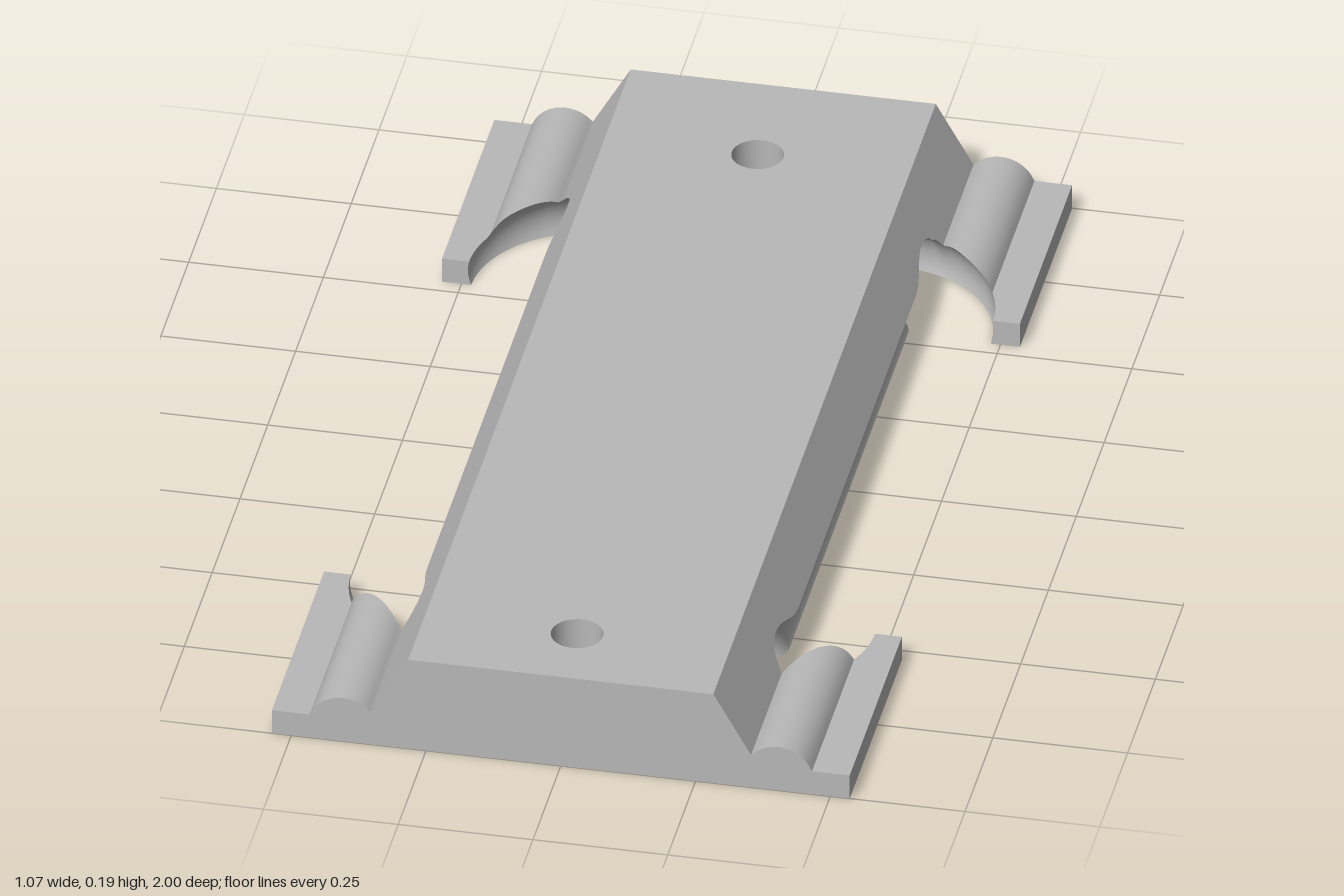
import * as THREE from 'three';

// Plate profile
const W = 0.536, TOP = 0.193, TOPX = 0.283, VALLEY = 0.353, BUMP_END = 0.466, LIP = 0.05;
// Ball track: bend centre (C, ZB), path radius R, tube radius r at height Y0
const C = 0.266, ZB = 0.53, R = 0.139, r = 0.083, Y0 = 0.031;
const HOLE_R = 0.048, HOLES = [-0.77, 0.853];

const lerp = THREE.MathUtils.lerp;

// Height of the upper surface at x
function height(x) {
  x = Math.abs(x);
  if (x <= TOPX) return TOP;
  const slope = TOP - (x - TOPX) * 1.75;
  const bump = 0.029 + Math.sqrt(Math.max(0, 0.065 ** 2 - (x - 0.404) ** 2));
  return Math.max(slope, bump, LIP);
}
// Half width of the track at height y, and the z where its edges meet the upper surface
const half = (y) => Math.sqrt(Math.max(0, r * r - (y - Y0) ** 2));
const arcZ = (x, rad) => ZB + Math.sqrt(Math.max(0, rad * rad - (x - C) ** 2));
const outerZ = (x) => arcZ(x, R + half(height(x)));
const innerZ = (x) => arcZ(x, R - half(height(x)));

// Surface from fn(u, v); its front faces du x dv
function grid(nu, nv, fn) {
  const pos = [], idx = [];
  for (let i = 0; i <= nu; i++) for (let j = 0; j <= nv; j++) pos.push(...fn(i / nu, j / nv));
  for (let i = 0; i < nu; i++) for (let j = 0; j < nv; j++) {
    const a = i * (nv + 1) + j, b = a + nv + 1;
    idx.push(a, b, a + 1, b, b + 1, a + 1);
  }
  const g = new THREE.BufferGeometry();
  g.setAttribute('position', new THREE.Float32BufferAttribute(pos, 3));
  g.setIndex(idx);
  g.computeVertexNormals();
  return g;
}

// Mirrored copy with corrected corner order
function mirrored(geo, sx, sz) {
  const g = geo.clone().scale(sx, 1, sz);
  if (sx * sz < 0) {
    const a = g.index.array;
    for (let i = 0; i < a.length; i += 3) [a[i], a[i + 1]] = [a[i + 1], a[i]];
  }
  g.computeVertexNormals();
  return g;
}

// Strip of the upper surface between x0 and x1, from z0(x) to z1(x)
const strip = (x0, x1, n, z0, z1, ease = (t) => t) => grid(1, n, (u, v) => {
  const x = lerp(x0, x1, ease(v));
  return [x, height(x), lerp(z0(x), z1(x), u)];
});

// Half of the track path: outer leg, bend, inner leg
const BEND = 48;
const path = [{ a: 0, z: 0 }];
for (let i = 0; i <= BEND; i++) path.push({ a: Math.PI * i / BEND, z: ZB });
path.push({ a: Math.PI, z: 0 });

const PHI0 = -Math.asin(Y0 / r), PHI1 = Math.PI - PHI0;
function tubePoint({ a, z }, phi) {
  const d = R + r * Math.cos(phi);
  return [C + d * Math.cos(a), Y0 + r * Math.sin(phi), z + d * Math.sin(a)];
}
// Angles between which the tube breaks through the upper surface
function opening(p) {
  const over = (phi) => { const q = tubePoint(p, phi); return q[1] - height(q[0]); };
  const N = 300, at = (i) => lerp(PHI0, PHI1, i / N);
  const refine = (lo, hi) => {
    for (let k = 0; k < 30; k++) {
      const m = (lo + hi) / 2;
      if (over(m) > 0) hi = m; else lo = m;
    }
    return hi;
  };
  let first = -1, last = -1;
  for (let i = 0; i <= N; i++) if (over(at(i)) > 0) { if (first < 0) first = i; last = i; }
  if (first < 0) return [Math.PI / 2, Math.PI / 2];
  return [refine(at(Math.max(0, first - 1)), at(first)), refine(at(Math.min(N, last + 1)), at(last))];
}

function quarterParts() {
  const one = () => 1, zero = () => 0, zb = () => ZB;
  const xa = TOPX + (TOP - Y0 - r) / 1.75;      // highest break-through on the slope
  let lo = xa, hi = VALLEY;                     // slope edge along the straight leg
  for (let k = 0; k < 40; k++) {
    const m = (lo + hi) / 2;
    if (m - C > R - half(height(m))) hi = m; else lo = m;
  }
  const xe = C + R + half(LIP);                 // lip edge at the bend start
  const sq = (t) => t * t, out = (t) => 1 - (1 - t) ** 2;
  const opens = path.map(opening);
  const outer = path.slice(1);
  return {
    slopeUpper: strip(TOPX, xa, 1, zero, one),
    slopeEnd: strip(xa, VALLEY, 24, outerZ, one, sq),
    slopeMiddle: strip(xa, lo, 24, zero, innerZ, sq),
    ridge: strip(VALLEY, BUMP_END, 28, outerZ, one),
    lipInner: strip(BUMP_END, xe, 12, outerZ, one, out),
    lipOuter: strip(xe, W, 1, zb, one),
    lipSide: grid(1, 1, (u, v) => [W, u * LIP, lerp(ZB, 1, v)]),
    lipTip: grid(12, 1, (u, v) => {
      const y = u * LIP;
      return [lerp(C + R + half(y), W, v), y, ZB];
    }),
    trackOuterWall: grid(outer.length - 1, 14, (u, v) => {
      const i = Math.round(u * (outer.length - 1));
      return tubePoint(outer[i], lerp(PHI0, opens[i + 1][0], v));
    }),
    trackInnerWall: grid(path.length - 1, 14, (u, v) => {
      const i = Math.round(u * (path.length - 1));
      return tubePoint(path[i], lerp(opens[i][1], PHI1, v));
    }),
  };
}

const addHoles = (shape, sign) => HOLES.forEach((z) => {
  shape.holes.push(new THREE.Path().absarc(0, sign * z, HOLE_R, 0, Math.PI * 2, true));
});

// Underside plate with both track notches cut out
function undersideGeometry() {
  const rad = R + half(0), pts = [];
  const arc = (sx, sz, from, to) => {
    for (let i = 0; i <= BEND; i++) {
      const a = lerp(from, to, i / BEND);
      pts.push(new THREE.Vector2(sx * (C + rad * Math.cos(a)), sz * (ZB + rad * Math.sin(a))));
    }
  };
  const add = (x, z) => pts.push(new THREE.Vector2(x, z));
  add(W, 1); add(-W, 1); add(-W, ZB);
  arc(-1, 1, 0, Math.PI);
  arc(-1, -1, Math.PI, 0);
  add(-W, -ZB); add(-W, -1); add(W, -1); add(W, -ZB);
  arc(1, -1, 0, Math.PI);
  arc(1, 1, Math.PI, 0);
  add(W, ZB);
  const shape = new THREE.Shape(pts);
  addHoles(shape, 1);
  return new THREE.ShapeGeometry(shape, 32).rotateX(Math.PI / 2);
}

export function createModel() {
  const group = new THREE.Group();
  group.name = 'trackPlate';
  const grey = new THREE.MeshStandardMaterial({ color: 0xb8b8b8 });
  grey.name = 'grey';
  const add = (name, geo) => {
    const m = new THREE.Mesh(geo, grey);
    m.name = name;
    group.add(m);
  };

  // Slopes, ridges, lips and tracks, repeated in four quarters
  for (const [name, geo] of Object.entries(quarterParts()))
    for (const sx of [1, -1]) for (const sz of [1, -1]) add(name, mirrored(geo, sx, sz));

  // Flat top
  const top = new THREE.Shape([[-TOPX, -1], [TOPX, -1], [TOPX, 1], [-TOPX, 1]].map((p) => new THREE.Vector2(...p)));
  addHoles(top, -1);
  add('topFace', new THREE.ShapeGeometry(top, 32).rotateX(-Math.PI / 2).translate(0, TOP, 0));

  // Underside and the islands inside the tracks
  add('underside', undersideGeometry());
  const ri = R - half(0);
  for (const s of [1, -1]) {
    const island = new THREE.Shape();
    island.absarc(s * C, ZB, ri, 0, Math.PI, false);
    island.absarc(s * C, -ZB, ri, Math.PI, Math.PI * 2, false);
    add('trackIsland', new THREE.ShapeGeometry(island, 24).rotateX(Math.PI / 2));
  }

  // End faces
  const right = [[W, 0], [W, LIP]];
  for (let i = 0; i <= 28; i++) {
    const x = lerp(BUMP_END, VALLEY, i / 28);
    right.push([x, height(x)]);
  }
  right.push([TOPX, TOP]);
  const outline = [...right, ...right.map(([x, y]) => [-x, y]).reverse()];
  const end = new THREE.Shape(outline.map((p) => new THREE.Vector2(...p)));
  add('frontEnd', new THREE.ShapeGeometry(end).translate(0, 0, 1));
  add('backEnd', new THREE.ShapeGeometry(end).translate(0, 0, 1).rotateY(Math.PI));

  // Screw hole walls
  for (const z of HOLES) add('screwHole', grid(40, 1, (u, v) => {
    const a = u * Math.PI * 2;
    return [HOLE_R * Math.cos(a), v * TOP, z + HOLE_R * Math.sin(a)];
  }));
  return group;
}
